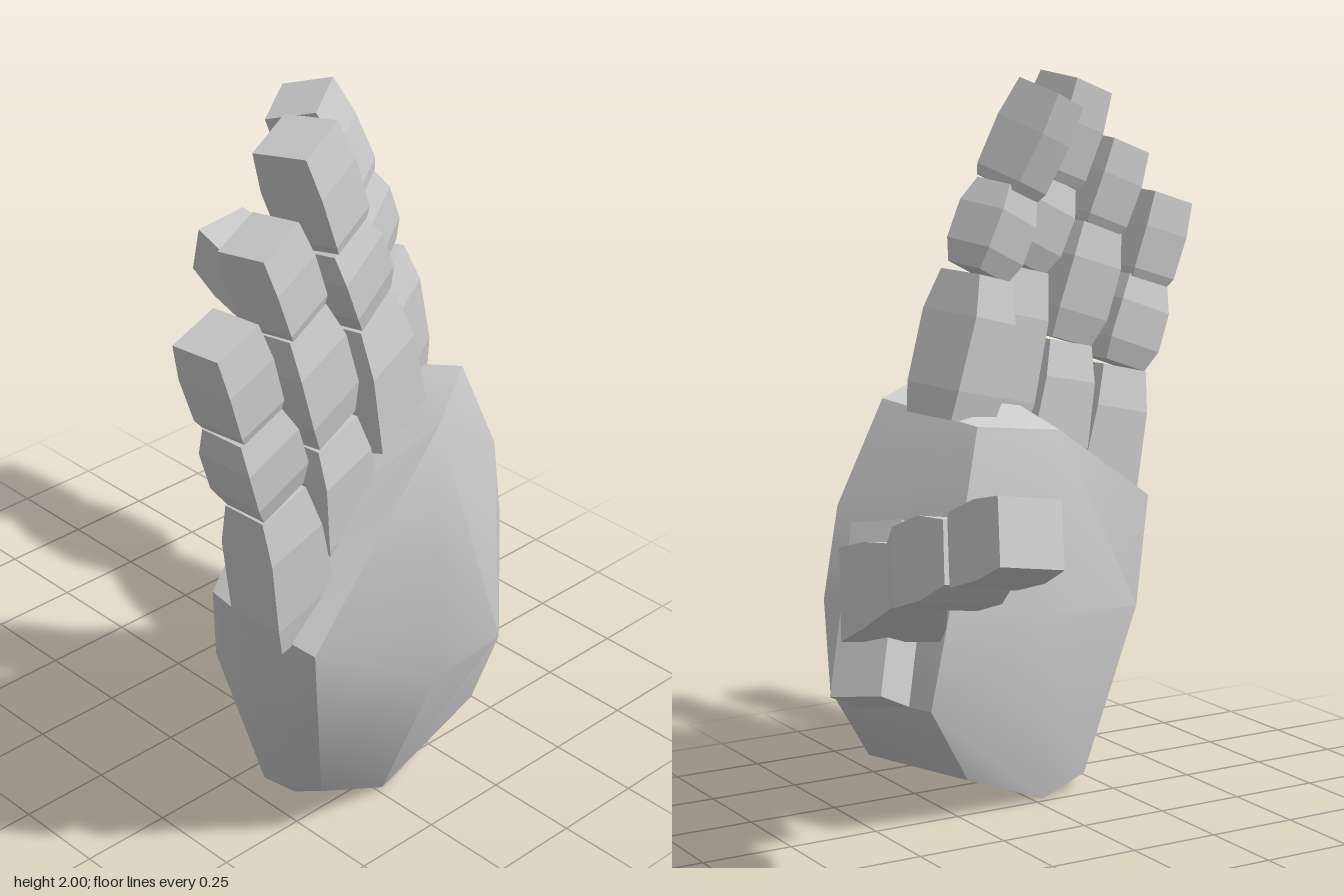
import * as THREE from 'three';
import { toCreasedNormals } from 'three/addons/utils/BufferGeometryUtils.js';
import { ConvexGeometry } from 'three/addons/geometries/ConvexGeometry.js';

const grey = new THREE.MeshStandardMaterial({ color: 0xcccccc });
const faceted = new THREE.MeshStandardMaterial({ color: 0xcccccc, flatShading: true });
const V = (p) => new THREE.Vector3(...p);

// Each profile row is [position along the bone, width scale, depth scale].
const KNUCKLE = [[0, 1.05, 0.9], [0.2, 1.13, 1.04], [0.7, 1.0, 1.08], [0.98, 0.86, 0.78]];
const MIDDLE = [[0, 0.85, 0.78], [0.25, 1.06, 1.03], [0.7, 1.04, 1.06], [1, 0.84, 0.8]];
const TIP = [[0, 0.88, 0.88], [0.1, 1, 1], [0.6, 1.02, 1.06], [1, 0.95, 0.92]];
const THUMB_ROOT = [[0, 0.7, 0.75], [0.32, 1.25, 1.17], [0.65, 1.02, 1.05], [1, 0.62, 0.72]];
const BAR = [[0, 1, 1], [0.3, 1, 1], [0.7, 1, 1], [1, 1, 1]];

// Four-sided bone from a to b, its width measured along the across direction
function bone(name, a, b, [width, depth], across, profile) {
  const start = V(a);
  const axis = V(b).sub(start);
  const up = axis.clone().normalize();
  const side = V(across);
  side.addScaledVector(up, -side.dot(up)).normalize();
  const front = side.clone().cross(up);

  const geometry = new THREE.BoxGeometry(1, 1, 1, 1, 3, 1);
  const pos = geometry.attributes.position;
  for (let i = 0; i < pos.count; i++) {
    const [t, w, d] = profile[Math.round((pos.getY(i) + 0.5) * 3)];
    const p = start.clone().addScaledVector(axis, t)
      .addScaledVector(side, pos.getX(i) * width * w)
      .addScaledVector(front, pos.getZ(i) * depth * d);
    pos.setXYZ(i, p.x, p.y, p.z);
  }
  geometry.computeVertexNormals();
  const mesh = new THREE.Mesh(geometry, faceted);
  mesh.name = name;
  return mesh;
}

// Three bones running through four joints
function finger({ name, joints, sizes, across, root = KNUCKLE }) {
  const group = new THREE.Group();
  group.name = name;
  [root, MIDDLE, TIP].forEach((profile, i) => {
    const part = name + ['Base', 'Middle', 'Tip'][i];
    group.add(bone(part, joints[i], joints[i + 1], sizes[i], across, profile));
  });
  return group;
}

const FINGERS = [
  {
    name: 'indexFinger', across: [0.93, 0, -0.37], sizes: [[0.175, 0.17], [0.16, 0.14], [0.14, 0.15]],
    joints: [[0.22, 1.08, 0.33], [0.125, 1.47, 0.34], [0.03, 1.69, 0.345], [-0.085, 1.945, 0.305]],
  },
  {
    name: 'middleFinger', across: [0.98, 0, -0.22], sizes: [[0.19, 0.16], [0.17, 0.15], [0.155, 0.16]],
    joints: [[0.03, 1.02, 0.5], [-0.08, 1.47, 0.505], [-0.185, 1.7, 0.51], [-0.28, 1.965, 0.495]],
  },
  {
    name: 'ringFinger', across: [0.99, 0, -0.15], sizes: [[0.18, 0.15], [0.175, 0.15], [0.15, 0.145]],
    joints: [[-0.19, 0.88, 0.55], [-0.265, 1.24, 0.57], [-0.365, 1.56, 0.565], [-0.45, 1.79, 0.555]],
  },
  {
    name: 'littleFinger', across: [1, 0, -0.08], sizes: [[0.18, 0.15], [0.17, 0.15], [0.15, 0.15]],
    joints: [[-0.38, 0.74, 0.59], [-0.475, 1.15, 0.61], [-0.56, 1.39, 0.62], [-0.635, 1.63, 0.615]],
  },
  {
    name: 'thumb', across: [1, 0.17, 0], root: THUMB_ROOT, sizes: [[0.21, 0.21], [0.21, 0.195], [0.175, 0.18]],
    joints: [[0.47, 0.61, 0.29], [0.57, 0.785, -0.15], [0.585, 0.895, -0.465], [0.59, 0.99, -0.725]],
  },
];

// Domed front, gently bowed back, slanted knuckle line and rounded heel
const PALM = [
  [0.02, 1.18, 0.7], [0.35, 1.13, 0.47], [-0.41, 0.71, 0.72],       // front rim
  [0, 0.47, 0.745], [0.25, 0.47, 0.73],                             // front bulge
  [0.49, 0.85, 0.47], [0.54, 0.6, 0.46], [0.55, 0.36, 0.41],        // thumb side
  [0.37, 0.12, 0.54], [0.02, 0, 0.55], [-0.03, 0, 0.27],            // heel
  [-0.19, 0.04, 0.31], [-0.22, 0.06, 0.46], [-0.31, 0.14, 0.44], [-0.25, 0.15, 0.59],
  [-0.48, 0.77, 0.55], [-0.48, 0.79, 0.43], [-0.42, 0.5, 0.42],     // outer edge
  [-0.1, 1.03, 0.29], [0.22, 1.08, 0.18],                           // back rim
  [-0.37, 0.5, 0.32], [0.05, 0.55, 0.16], [0.35, 0.65, 0.09],       // back
  [0.41, 0.35, 0.1], [0.24, 0.11, 0.21],
];

export function createModel() {
  const hand = new THREE.Group();
  hand.name = 'hand';

  const palm = new THREE.Mesh(toCreasedNormals(new ConvexGeometry(PALM.map(V)), 0.75), grey);
  palm.name = 'palm';
  hand.add(palm);

  for (const spec of FINGERS) hand.add(finger(spec));

  // Hinge bar through the thumb root
  hand.add(bone('thumbHinge', [0.44, 0.82, 0.26], [0.585, 0.4, 0.11], [0.13, 0.16], [0.88, 0, -0.48], BAR));
  return hand;
}
